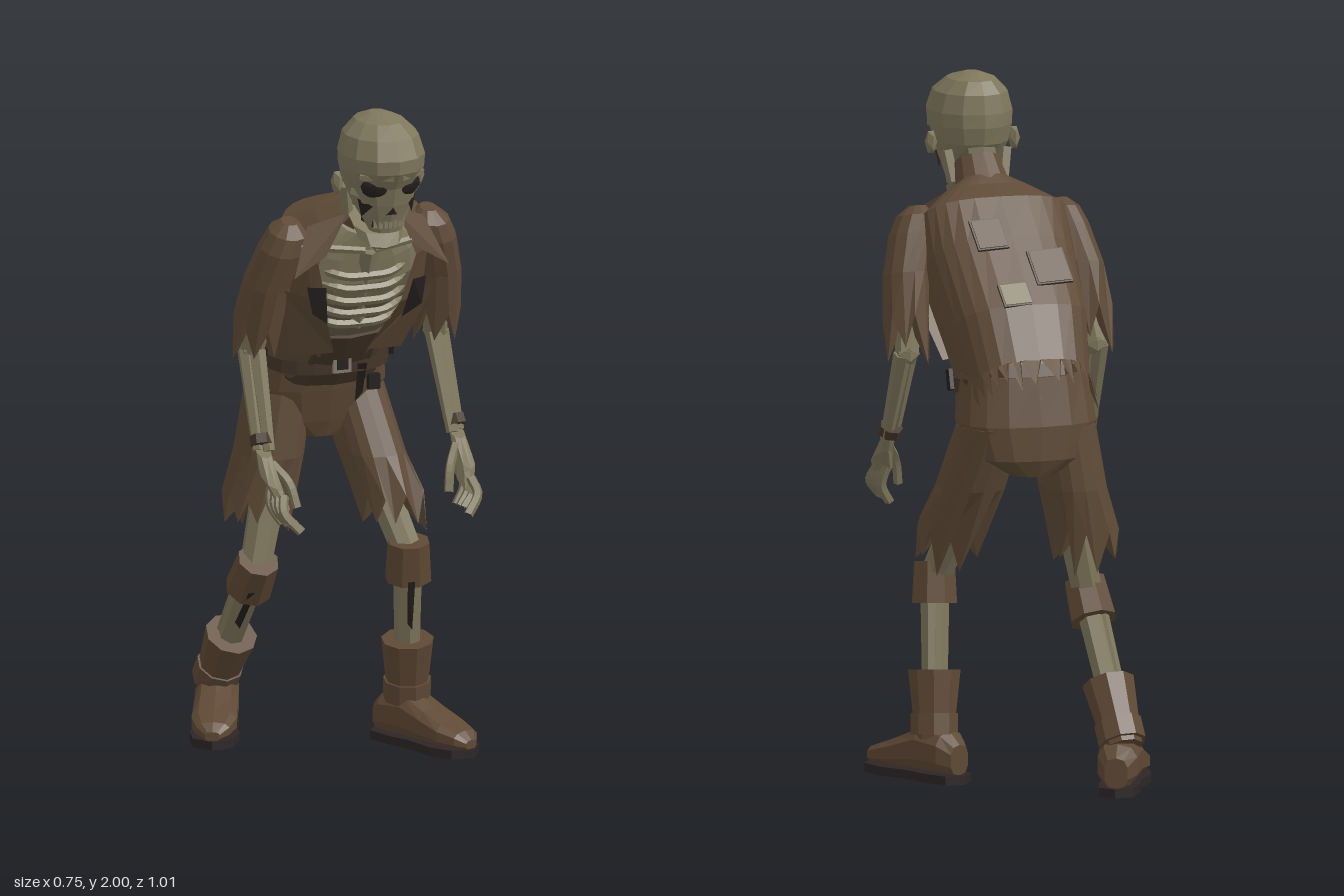
import * as THREE from 'three';

const mat = (name, color, side = THREE.FrontSide) =>
  Object.assign(new THREE.MeshStandardMaterial({ color, flatShading: true, side }), { name });
const BONE = mat('bone', 0x7f775c);
const SKIN = mat('driedSkin', 0x675f48, THREE.DoubleSide);
const CLOTH = mat('brownCloth', 0x5f4b37, THREE.DoubleSide);
const DARK = mat('darkCloth', 0x46372a, THREE.DoubleSide);
const LEATHER = mat('leather', 0x5f4935, THREE.DoubleSide);
const SOLE = mat('sole', 0x2e2626);
const BLACK = mat('hollow', 0x241f1d, THREE.DoubleSide);
const METAL = mat('buckleMetal', 0x7d796c);

const V = (a) => new THREE.Vector3(...a);
const rand = (i) => { const s = Math.sin(i * 12.9898 + 4.1) * 43758.5453; return s - Math.floor(s); };

function add(parent, name, geometry, material, pos = [0, 0, 0], rot = [0, 0, 0]) {
  const m = new THREE.Mesh(geometry, material);
  m.name = name;
  m.position.set(...pos);
  m.rotation.set(...rot);
  parent.add(m);
  return m;
}

// Skin over rings listed bottom to top: { c, rx, rz, tilt, gap }. jag tears the first ring.
function loft(rings, { n = 12, pow = 1, jag = 0, caps = true } = {}) {
  const pos = [], idx = [];
  const sp = (v) => Math.sign(v) * Math.pow(Math.abs(v), pow);
  rings.forEach(({ c, rx, rz, tilt = 0, gap = 0 }, i) => {
    for (let j = 0; j <= n; j++) {
      const a = gap + (j / n) * (2 * Math.PI - 2 * gap);
      const z = sp(Math.cos(a)) * rz;
      const drop = i === 0 && j % 2 ? -jag * (0.5 + 0.6 * rand(j)) : 0;
      pos.push(c[0] + sp(Math.sin(a)) * rx,
        c[1] - z * Math.sin(tilt) + drop * Math.cos(tilt),
        c[2] + z * Math.cos(tilt) + drop * Math.sin(tilt));
    }
  });
  const w = n + 1, last = (rings.length - 1) * w;
  for (let i = 0; i < rings.length - 1; i++) for (let j = 0; j < n; j++) {
    const a = i * w + j;
    idx.push(a, a + 1, a + w + 1, a, a + w + 1, a + w);
  }
  if (caps) {
    const k = pos.length / 3;
    pos.push(...rings[0].c, ...rings[rings.length - 1].c);
    for (let j = 0; j < n; j++) idx.push(k, j + 1, j, k + 1, last + j, last + j + 1);
  }
  const g = new THREE.BufferGeometry();
  g.setAttribute('position', new THREE.Float32BufferAttribute(pos, 3));
  g.setIndex(idx);
  g.computeVertexNormals();
  return g;
}
const ring = (x, y, z, rx, rz, tilt = 0, gap = 0) => ({ c: [x, y, z], rx, rz, tilt, gap });

// Tapered rod between two points
function rod(parent, name, a, b, ra, rb, material, n = 7) {
  const A = V(a), B = V(b), d = B.clone().sub(A);
  const m = add(parent, name, new THREE.CylinderGeometry(rb, ra, d.length(), n), material, A.clone().add(B).multiplyScalar(0.5).toArray());
  m.quaternion.setFromUnitVectors(new THREE.Vector3(0, 1, 0), d.normalize());
  return m;
}
const tube = (pts, r) => new THREE.TubeGeometry(new THREE.CatmullRomCurve3(pts.map(V)), 8, r, 5);
function flap(pts) {
  const g = new THREE.BufferGeometry();
  g.setAttribute('position', new THREE.Float32BufferAttribute(pts.flat(), 3));
  g.setIndex(Array.from({ length: pts.length - 2 }, (_, i) => [0, i + 1, i + 2]).flat());
  g.computeVertexNormals();
  return g;
}

function buildTorso(g) {
  // Open ragged coat with frayed hem
  add(g, 'coat', loft([
    ring(0, 1.15, -0.21, 0.178, 0.165, 0.7, 0.12), ring(0, 1.32, -0.1, 0.203, 0.18, 0.55, 0.25),
    ring(0, 1.48, 0.06, 0.22, 0.17, 0.66, 0.4), ring(0, 1.6, 0.13, 0.222, 0.13, 0.7, 0.62),
    ring(0, 1.66, 0.175, 0.14, 0.085, 0.62, 0.8), ring(0, 1.7, 0.2, 0.07, 0.065, 0.5, 0.8),
  ], { n: 22, pow: 0.7, caps: false }), CLOTH);
  add(g, 'frayedHem', loft([
    ring(0, 1.14, -0.228, 0.178, 0.167, 0.85, 0.12), ring(0, 1.16, -0.203, 0.178, 0.165, 0.7, 0.12),
  ], { n: 56, pow: 0.7, jag: 0.1, caps: false }), CLOTH);
  add(g, 'collar', loft([ring(0, 1.66, 0.175, 0.085, 0.08, 0.55, 0.6), ring(0, 1.755, 0.25, 0.066, 0.066, 0.5, 0.6)], { n: 10, caps: false }), CLOTH);
  // Sunken chest and belly
  add(g, 'chestHollow', loft([
    ring(0, 1.32, -0.1, 0.185, 0.165, 0.52), ring(0, 1.48, 0.06, 0.2, 0.155, 0.66), ring(0, 1.55, 0.105, 0.19, 0.13, 0.68),
  ], { n: 16, pow: 0.8 }), SKIN);
  add(g, 'upperChest', loft([
    ring(0, 1.54, 0.1, 0.195, 0.14, 0.68), ring(0, 1.6, 0.135, 0.18, 0.115, 0.7), ring(0, 1.65, 0.18, 0.08, 0.07, 0.6),
  ], { n: 16, pow: 0.8 }), BONE);
  add(g, 'belly', loft([ring(0, 1.12, -0.18, 0.17, 0.15, 0.2), ring(0, 1.34, -0.07, 0.185, 0.17, 0.52)], { n: 14, pow: 0.8 }), DARK);
  // Ribs, breastbone, collarbones, lapels
  rod(g, 'breastbone', [0, 1.31, 0.13], [0, 1.56, 0.225], 0.02, 0.03, BONE, 5);
  for (const s of [-1, 1]) {
    for (let i = 0; i < 5; i++) {
      const y = 1.32 + i * 0.04, z = y < 1.375 ? 0.145 + (y - 1.33) * 0.9 : 0.185 + (y - 1.375) * 0.25;
      add(g, 'rib', tube([[0, y, z + 0.008], [s * 0.06, y + 0.002, z + 0.008], [s * 0.1, y + 0.012, z - 0.007], [s * 0.15, y + 0.03, z - 0.06]], 0.013), BONE);
    }
    rod(g, 'collarbone', [s * 0.015, 1.56, 0.235], [s * 0.2, 1.58, 0.2], 0.011, 0.012, BONE, 5);
    add(g, 'lapel', flap([[s * 0.25, 1.45, 0.17], [s * 0.15, 1.42, 0.225], [s * 0.11, 1.33, 0.185], [s * 0.05, 1.22, 0.08], [s * 0.17, 1.21, 0.05]]), CLOTH);
    add(g, 'lapelShade', flap([[s * 0.135, 1.46, 0.235], [s * 0.185, 1.46, 0.21], [s * 0.17, 1.38, 0.215], [s * 0.115, 1.34, 0.195]]), BLACK);
    add(g, 'collarFlap', flap([[s * 0.07, 1.68, 0.24], [s * 0.18, 1.64, 0.2], [s * 0.24, 1.5, 0.25], [s * 0.14, 1.56, 0.25]]), CLOTH);
    add(g, 'beltLoop', new THREE.BoxGeometry(0.012, 0.06, 0.03), BLACK, [s * 0.198, 1.18, -0.1], [0.3, 0, 0]);
  }
  // Sewn patches on the back
  for (const [x, y, z, w, h, m] of [[-0.085, 1.503, -0.158, 0.1, 0.11, CLOTH], [0.07, 1.59, -0.07, 0.085, 0.095, CLOTH], [0.04, 1.438, -0.222, 0.08, 0.07, BONE]]) {
    add(g, 'patchSeam', new THREE.BoxGeometry(w + 0.01, 0.008, h + 0.01), DARK, [x, y + 0.002, z - 0.002], [-Math.PI / 4, 0.06, 0]);
    add(g, 'patch', new THREE.BoxGeometry(w, 0.008, h), m, [x, y + 0.004, z - 0.004], [-Math.PI / 4, 0.06, 0]);
  }
  // Breeches seat, belt, buckle
  add(g, 'seat', loft([
    ring(0, 0.92, -0.21, 0.07, 0.11), ring(0, 0.97, -0.212, 0.17, 0.13), ring(0, 1.07, -0.197, 0.205, 0.145), ring(0, 1.21, -0.165, 0.188, 0.15),
  ], { n: 16, pow: 0.8 }), CLOTH);
  add(g, 'belt', loft([ring(0, 1.15, -0.15, 0.192, 0.16, 0.1), ring(0, 1.19, -0.145, 0.192, 0.16, 0.1)], { n: 20, pow: 0.75, caps: false }), DARK);
  add(g, 'buckle', new THREE.BoxGeometry(0.056, 0.05, 0.012), METAL, [0, 1.165, 0.018]);
  add(g, 'buckleHollow', new THREE.BoxGeometry(0.034, 0.03, 0.008), BLACK, [0, 1.165, 0.023]);
  add(g, 'beltEnd', flap([[0.05, 1.16, 0.015], [0.08, 1.16, 0.015], [0.085, 1.06, -0.035], [0.065, 1.03, -0.045]]), BLACK);
  add(g, 'beltPouch', new THREE.BoxGeometry(0.035, 0.045, 0.02), BLACK, [0.125, 1.085, -0.05]);
}

function buildHead(g) {
  const x = -0.012;
  rod(g, 'neck', [0, 1.64, 0.17], [x, 1.79, 0.29], 0.06, 0.058, SKIN, 8);
  add(g, 'skull', loft([
    ring(x, 1.665, 0.385, 0.05, 0.034, 0.2), ring(x, 1.7, 0.378, 0.068, 0.052, 0.1), ring(x, 1.745, 0.355, 0.09, 0.095), ring(x, 1.8, 0.342, 0.108, 0.124),
    ring(x, 1.85, 0.352, 0.121, 0.146), ring(x, 1.89, 0.354, 0.124, 0.147), ring(x, 1.945, 0.347, 0.108, 0.13),
    ring(x, 1.982, 0.335, 0.07, 0.09), ring(x, 2.0, 0.325, 0.025, 0.03),
  ], { n: 12 }), BONE);
  // Dropped jaw set back below the teeth
  add(g, 'jaw', loft([
    ring(x, 1.615, 0.355, 0.042, 0.03, 0.5), ring(x, 1.64, 0.33, 0.068, 0.07, 0.5), ring(x, 1.68, 0.31, 0.08, 0.075, 0.5),
  ], { n: 10, pow: 0.85 }), BONE);
  for (const s of [-1, 1]) rod(g, 'jawHinge', [x + s * 0.075, 1.69, 0.27], [x + s * 0.09, 1.78, 0.29], 0.02, 0.02, BONE, 5);
  add(g, 'mouthHollow', new THREE.BoxGeometry(0.1, 0.028, 0.09), BLACK, [x, 1.692, 0.367]);
  for (let i = -3; i <= 3; i++) add(g, 'tooth', new THREE.BoxGeometry(0.011, 0.026, 0.01), BONE, [x + i * 0.014, 1.688, 0.424 - i * i * 0.0015]);
  add(g, 'noseHollow', new THREE.ConeGeometry(0.024, 0.055, 3), BLACK, [x, 1.745, 0.432], [-0.3, 0, 0]);
  for (const s of [-1, 1]) {
    add(g, 'eyeSocket', new THREE.IcosahedronGeometry(1, 1), BLACK, [x + s * 0.05, 1.803, 0.436], [0.25, s * 0.35, 0]).scale.set(0.044, 0.034, 0.02);
    add(g, 'cheekHollow', flap([[x + s * 0.055, 1.745, 0.428], [x + s * 0.09, 1.765, 0.395], [x + s * 0.078, 1.71, 0.395]]), BLACK);
    rod(g, 'brow', [x + s * 0.01, 1.838, 0.482], [x + s * 0.095, 1.838, 0.43], 0.012, 0.012, BONE, 5);
    rod(g, 'cheekbone', [x + s * 0.04, 1.76, 0.43], [x + s * 0.098, 1.782, 0.37], 0.012, 0.014, BONE, 5);
    add(g, 'ear', new THREE.IcosahedronGeometry(1, 0), BONE, [x + s * 0.126, 1.8, 0.325]).scale.set(0.017, 0.038, 0.026);
  }
}

function buildArm(g, s) {
  const arm = new THREE.Group();
  arm.name = s > 0 ? 'leftArm' : 'rightArm';
  g.add(arm);
  const elbow = [s * 0.285, 1.24, 0.03];
  // Torn sleeve
  add(arm, 'sleeve', loft([
    ring(s * 0.28, 1.34, 0.06, 0.064, 0.092, 0.25), ring(s * 0.265, 1.46, 0.1, 0.066, 0.084, 0.25),
    ring(s * 0.235, 1.57, 0.14, 0.066, 0.078, 0.25), ring(s * 0.22, 1.62, 0.15, 0.056, 0.066, 0.25), ring(s * 0.215, 1.648, 0.15, 0.025, 0.03, 0.25),
  ], { n: 12, jag: 0.13 }), CLOTH);
  rod(arm, 'upperArm', [s * 0.24, 1.56, 0.13], elbow, 0.04, 0.036, BONE);
  add(arm, 'elbow', new THREE.IcosahedronGeometry(0.038, 0), BONE, elbow);
  rod(arm, 'forearmOuter', [s * 0.3, 1.24, 0.025], [s * 0.31, 0.97, 0.145], 0.027, 0.018, BONE, 6);
  rod(arm, 'forearmInner', [s * 0.275, 1.24, 0.045], [s * 0.285, 0.97, 0.165], 0.027, 0.018, BONE, 6);
  rod(arm, 'wristBand', [s * 0.297, 1.01, 0.135], [s * 0.3, 0.985, 0.15], 0.035, 0.034, DARK, 7);
  // Bony hand with curled fingers
  add(arm, 'palm', loft([
    ring(s * 0.285, 0.85, 0.25, 0.018, 0.072, 0.4), ring(s * 0.302, 0.91, 0.21, 0.026, 0.066, 0.4), ring(s * 0.3, 0.97, 0.16, 0.022, 0.036, 0.4),
  ], { n: 8 }), BONE);
  for (let i = 0; i < 4; i++) {
    const z = 0.198 + i * 0.032, y = 0.885 - i * 0.006;
    add(arm, 'finger', tube([[s * 0.29, y, z], [s * 0.3, 0.825, z + 0.02 + i * 0.003], [s * (0.27 - i * 0.004), 0.772 + (i % 3) * 0.005, z + 0.035 + i * 0.008]], 0.015), BONE);
  }
  add(arm, 'thumb', tube([[s * 0.285, 0.94, 0.19], [s * 0.25, 0.89, 0.235], [s * 0.235, 0.82, 0.26]], 0.014), BONE);
}

// Leg points: breeches hem, knee, ankle, foot centre
function buildLeg(g, s, hem, knee, ankle, foot) {
  const leg = new THREE.Group();
  leg.name = s > 0 ? 'leftLeg' : 'rightLeg';
  g.add(leg);
  const mix = (t) => V(knee).lerp(V(ankle), t).toArray();
  const hip = [s * 0.1, 0.99, -0.19];
  const mid = V(hip).lerp(V(hem), 0.5);
  add(leg, 'breechesLeg', loft([
    ring(...hem, 0.088, 0.108, -0.1), ring(mid.x, mid.y, mid.z, 0.093, 0.125), ring(s * 0.11, 1.06, -0.2, 0.09, 0.12),
  ], { n: 18, jag: 0.12, pow: 0.85 }), CLOTH);
  rod(leg, 'thigh', hip, knee, 0.06, 0.046, BONE, 8);
  rod(leg, 'kneeWrap', mix(-0.1), mix(0.17), 0.062, 0.069, LEATHER, 8);
  rod(leg, 'shin', knee, ankle, 0.044, 0.036, BONE, 7);
  const f = mix(0.1), e = mix(0.95);
  rod(leg, 'calfBone', [f[0] + s * 0.022, f[1], f[2] - 0.03], [e[0] + s * 0.02, e[1], e[2] - 0.02], 0.018, 0.018, BONE, 5);
  const p = mix(0.15), q = mix(0.5);
  add(leg, 'looseStrap', flap([[p[0] - 0.03, p[1], p[2] + 0.072], [p[0] - 0.008, p[1], p[2] + 0.074], [q[0] - 0.01, q[1], q[2] + 0.06], [q[0] - 0.025, q[1] + 0.02, q[2] + 0.06]]), BLACK);
  // Boot shaft with ankle strap
  rod(leg, 'bootShaft', mix(1.05), mix(0.6), 0.056, 0.077, LEATHER, 9);
  rod(leg, 'ankleStrap', mix(1.02), mix(0.88), 0.07, 0.07, LEATHER, 9);
  // Shoe and sole
  const shoe = new THREE.Group();
  shoe.name = 'shoe';
  shoe.position.set(...foot);
  shoe.rotation.y = s * 0.44;
  leg.add(shoe);
  const sections = [[-0.17, 0.035, 0.045], [-0.13, 0.06, 0.062], [-0.04, 0.065, 0.068], [0.04, 0.066, 0.05], [0.11, 0.068, 0.036], [0.165, 0.05, 0.026], [0.188, 0.022, 0.014]];
  add(shoe, 'upper', loft(sections.map(([z, w, h]) => ring(0, 0.024 + h, z, w, h, Math.PI / 2)), { n: 10, pow: 0.75 }), LEATHER);
  const outline = [[0, -0.19], [0.05, -0.165], [0.06, -0.08], [0.055, -0.01], [0.072, 0.09], [0.058, 0.165], [0, 0.2]];
  const pts = [...outline, ...outline.slice(1, -1).reverse().map(([x, z]) => [-x, z])].map(([x, z]) => new THREE.Vector2(x, -z));
  add(shoe, 'sole', new THREE.ExtrudeGeometry(new THREE.Shape(pts), { depth: 0.026, bevelEnabled: false }), SOLE, [0, 0, 0], [-Math.PI / 2, 0, 0]);
}

export function createModel() {
  const g = new THREE.Group();
  g.name = 'raggedUndeadFigure';
  buildTorso(g);
  buildHead(g);
  for (const s of [-1, 1]) buildArm(g, s);
  buildLeg(g, 1, [0.185, 0.75, -0.05], [0.2, 0.58, 0.035], [0.225, 0.14, -0.04], [0.252, 0, 0.022]);
  buildLeg(g, -1, [-0.185, 0.75, -0.2], [-0.21, 0.53, -0.135], [-0.225, 0.15, -0.4], [-0.25, 0, -0.333]);
  return g;
}
